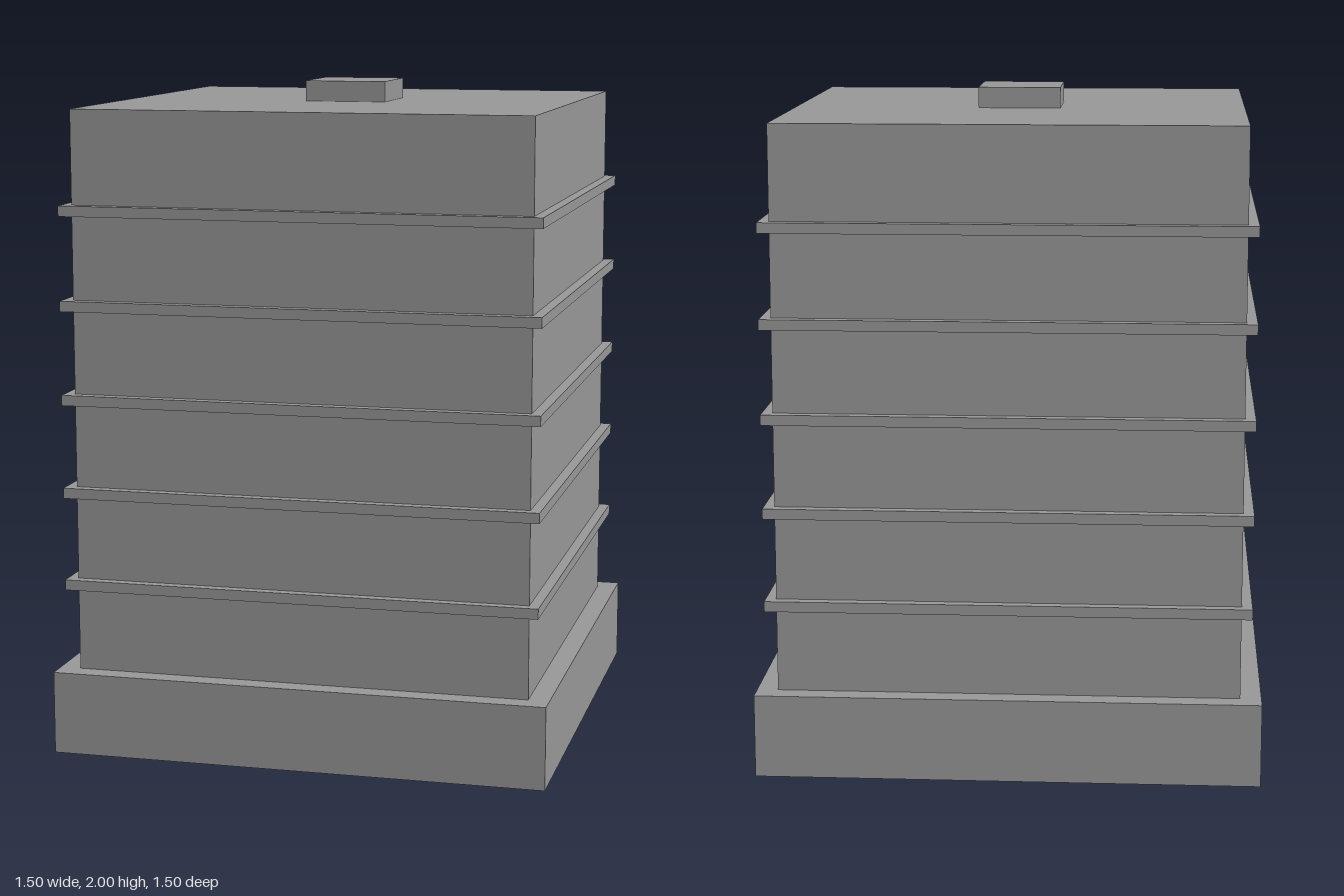
import * as THREE from 'three';

export function createModel() {
  const group = new THREE.Group();
  const concrete = new THREE.MeshStandardMaterial({ color: 0x999999 });
  concrete.name = 'concrete grey';

  // Square slab standing on height y
  function slab(name, width, height, y) {
    const mesh = new THREE.Mesh(new THREE.BoxGeometry(width, height, width), concrete);
    mesh.name = name;
    mesh.position.y = y + height / 2;
    group.add(mesh);
  }

  const plinthHeight = 0.25, wallHeight = 0.25, ledgeHeight = 0.03125;
  const storey = wallHeight + ledgeHeight, storeys = 6;
  const roofY = plinthHeight + storeys * storey;

  slab('plinth', 1.5, plinthHeight, 0);
  slab('tower', 1.375, storeys * storey, plinthHeight);

  // Thin ledge at the top of every storey except the last
  for (let i = 0; i < storeys - 1; i++) {
    slab(`ledge${i + 1}`, 1.4375, ledgeHeight, plinthHeight + i * storey + wallHeight);
  }

  slab('roofHatch', 0.25, 0.0625, roofY);
  return group;
}
